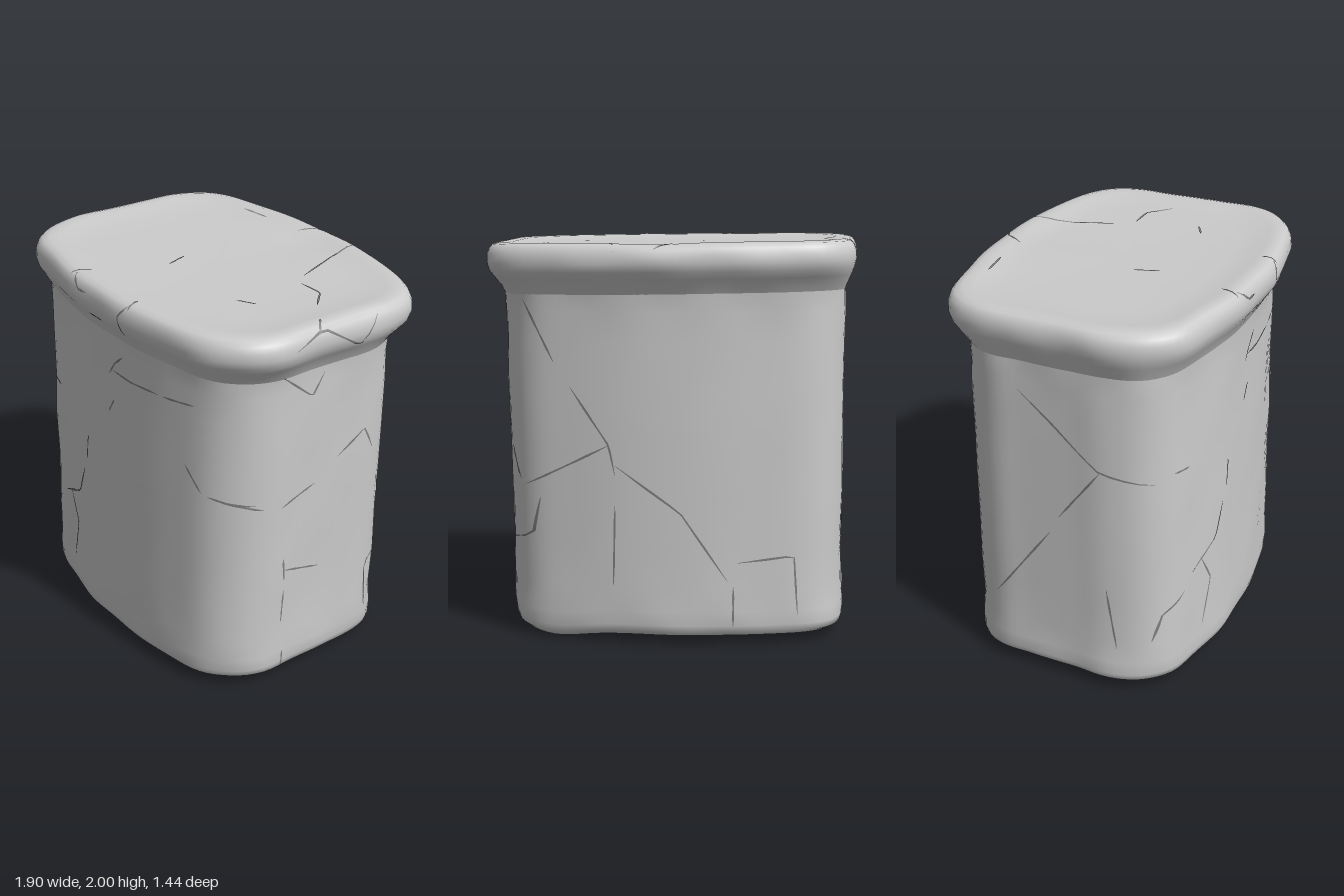
import * as THREE from 'three';

// Plan outline of the jar (x, z), running round from the back left corner
const OUTLINE = [
  [-0.88, -0.45], [-0.81, -0.58], [-0.69, -0.66], [-0.38, -0.71], [-0.05, -0.725], [0.3, -0.69],
  [0.6, -0.61], [0.8, -0.53], [0.9, -0.43], [0.945, -0.28], [0.93, -0.05], [0.91, 0.2],
  [0.89, 0.4], [0.82, 0.54], [0.68, 0.65], [0.42, 0.7], [0.15, 0.715], [-0.1, 0.7],
  [-0.35, 0.67], [-0.6, 0.6], [-0.8, 0.53], [-0.91, 0.4], [-0.95, 0.2], [-0.93, 0], [-0.9, -0.28],
];

// Sections: height, half-width scale, half-depth scale, centre x, centre z
const BODY = [
  [0.04, 0, 0, -0.03, 0.02], [0.04, 0.5, 0.5, -0.03, 0.02], [0.037, 0.82, 0.8, -0.03, 0.02],
  [0.045, 0.87, 0.86, -0.03, 0.02], [0.065, 0.905, 0.89, -0.035, 0.02], [0.1, 0.916, 0.9, -0.035, 0.02],
  [0.17, 0.918, 0.905, -0.03, 0.02], [0.28, 0.91, 0.9, -0.028, 0.02], [0.5, 0.912, 0.9, -0.028, 0.018],
  [0.75, 0.915, 0.895, -0.025, 0.015], [1.0, 0.918, 0.895, -0.023, 0.013], [1.25, 0.92, 0.89, -0.02, 0.01],
  [1.5, 0.922, 0.885, -0.018, 0.008], [1.65, 0.923, 0.885, -0.017, 0.006], [1.73, 0.925, 0.89, -0.015, 0.005],
  [1.8, 0.93, 0.9, -0.01, 0.004],
];
const LID = [
  [1.72, 0.915, 0.875, -0.015, 0.005], [1.77, 0.94, 0.91, -0.012, 0.004], [1.815, 0.97, 0.95, -0.006, 0.002],
  [1.85, 0.99, 0.985, 0, 0], [1.89, 1, 1, 0, 0], [1.93, 0.998, 0.995, 0, 0], [1.96, 0.985, 0.98, 0, 0],
  [1.98, 0.965, 0.955, 0, 0], [1.988, 0.93, 0.91, 0, 0], [1.985, 0.88, 0.85, 0, 0],
  [1.975, 0.82, 0.78, 0, 0], [1.968, 0.7, 0.65, 0, 0], [1.964, 0.35, 0.33, 0, 0], [1.964, 0, 0, 0, 0],
];

// Joins scaled copies of the outline into one smooth, slightly uneven skin
function loft(rows, adjustHeight) {
  const n = 120;
  const curve = new THREE.CatmullRomCurve3(OUTLINE.map(([x, z]) => new THREE.Vector3(x, 0, z)), true);
  const ring = curve.getSpacedPoints(n).slice(0, n);
  const positions = [], index = [];
  rows.forEach(([y, sx, sz, cx, cz], i) => {
    ring.forEach((p, j) => {
      const a = (j / n) * Math.PI * 2;
      const wobble = 1 + 0.003 * Math.sin(7 * a + y * 9) + 0.003 * Math.sin(13 * a - y * 14);
      const x = cx + p.x * sx * wobble, z = cz + p.z * sz * wobble;
      positions.push(x, y + adjustHeight(x, y, z), z);
      if (i === rows.length - 1) return;
      const b = i * n + j, c = i * n + (j + 1) % n;
      index.push(b, b + n, c, c, b + n, c + n);
    });
  });
  const geometry = new THREE.BufferGeometry();
  geometry.setAttribute('position', new THREE.Float32BufferAttribute(positions, 3));
  geometry.setIndex(index);
  geometry.computeVertexNormals();
  return geometry;
}

// Crack paths by face, in that face's own two coordinates
const CRACKS = {
  front: [
    [[-0.3, 1.99], [-0.24, 1.94], [-0.17, 1.94]], [[0.16, 1.98], [0.11, 1.92], [0.14, 1.83]],
    [[-0.16, 1.84], [-0.05, 1.84]], [[0.04, 1.66], [-0.03, 1.6], [-0.08, 1.53]],
    [[-0.05, 1.56], [0.1, 1.55], [0.3, 1.56]], [[0.33, 1.56], [0.53, 1.58]],
    [[-0.04, 1.4], [-0.09, 1.32]], [[-0.29, 1.1], [-0.31, 0.95]], [[-0.34, 0.88], [-0.41, 0.7], [-0.61, 0.6]],
    [[-0.54, 0.65], [-0.45, 0.48], [-0.52, 0.23]], [[0.47, 1.25], [0.57, 1.13]], [[0.6, 1.12], [0.77, 1.08]],
    [[-0.74, 1.23], [-0.64, 1.22]], [[-0.68, 0.53], [-0.8, 0.45], [-0.84, 0.3]],
  ],
  right: [
    [[0.32, 1.9], [0.15, 1.96], [-0.07, 1.82], [-0.17, 1.95]], [[0.32, 1.74], [0.14, 1.59], [0.07, 1.7]],
    [[-0.04, 1.2], [-0.2, 1.31], [-0.27, 1.18]], [[0.58, 1.11], [0.4, 1.05]], [[0.3, 1.03], [0.1, 1.1]],
    [[0.28, 0.73], [0.27, 0.6]], [[0.27, 0.66], [0.05, 0.6]], [[0.27, 0.54], [0.28, 0.35]],
    [[-0.3, 0.15], [-0.28, 0.48], [-0.45, 0.52], [-0.48, 0.72]], [[-0.34, 0.97], [-0.4, 0.8]], [[0.27, 0.17], [0.27, 0.07]],
  ],
  top: [
    [[0.3, -0.68], [0.33, -0.45], [0.4, -0.21]], [[-0.43, -0.57], [-0.26, -0.58]], [[0.46, -0.13], [0.6, -0.12], [0.7, 0]],
    [[-0.16, 0.08], [-0.13, 0.2]], [[0.41, 0.24], [0.5, 0.2]], [[0.65, -0.59], [0.81, -0.48]],
    [[-0.03, -0.58], [0.02, -0.66], [0.11, -0.7]], [[-0.88, -0.46], [-0.7, -0.57]],
    [[0.16, 0.63], [0.17, 0.7]], [[-0.28, 0.56], [-0.33, 0.65]], [[0.84, 0.12], [0.9, 0.18]],
  ],
  back: [
    [[0.75, 1.7], [0.6, 1.4]], [[0.52, 1.28], [0.33, 1], [0.3, 0.85]], [[0.3, 0.9], [-0.02, 0.67], [-0.25, 0.33]],
    [[-0.28, 0.3], [-0.28, 0.1]], [[0.33, 1], [0.75, 0.78]], [[0.3, 0.7], [0.31, 0.3]], [[-0.3, 0.42], [-0.58, 0.45], [-0.6, 0.15]],
  ],
  left: [
    [[-0.25, 1.6], [0.17, 1.25], [0.42, 1.2]], [[0.17, 1.25], [-0.05, 0.95]], [[-0.1, 0.85], [-0.42, 0.4]], [[0.2, 0.6], [0.25, 0.25]],
  ],
};
const FACES = {
  front: (u, v) => [[u, v, 3], [0, 0, -1]],
  back: (u, v) => [[u, v, -3], [0, 0, 1]],
  right: (u, v) => [[3, v, u], [-1, 0, 0]],
  left: (u, v) => [[-3, v, u], [1, 0, 0]],
  top: (u, v) => [[u, 4, v], [0, -1, 0]],
};

// Lays a thin tapering sliver along a path, following the skin
function crackGeometry(path, place, skins) {
  const points = path.map(([u, v]) => new THREE.Vector2(u, v));
  const line = new THREE.CurvePath();
  for (let i = 1; i < points.length; i++) line.add(new THREE.LineCurve(points[i - 1], points[i]));
  const steps = 12, positions = [], index = [], ray = new THREE.Raycaster();
  for (let i = 0; i <= steps; i++) {
    const t = i / steps, p = line.getPoint(t), d = line.getTangent(Math.min(t, 0.999));
    const half = 0.001 + 0.007 * Math.sin(Math.PI * t) * (0.7 + 0.3 * Math.sin(9 * t));
    for (const s of [-half, half]) {
      const [from, dir] = place(p.x - d.y * s, p.y + d.x * s);
      ray.set(new THREE.Vector3(...from), new THREE.Vector3(...dir));
      const hit = ray.intersectObjects(skins)[0];
      if (!hit) return null;
      positions.push(...hit.point.addScaledVector(hit.face.normal, 0.003).toArray());
    }
    if (i < steps) index.push(2 * i, 2 * i + 1, 2 * i + 2, 2 * i + 1, 2 * i + 3, 2 * i + 2);
  }
  const geometry = new THREE.BufferGeometry();
  geometry.setAttribute('position', new THREE.Float32BufferAttribute(positions, 3));
  geometry.setIndex(index);
  geometry.computeVertexNormals();
  return geometry;
}

export function createModel() {
  const group = new THREE.Group();
  const clay = new THREE.MeshStandardMaterial({ color: 0xcccccc });
  const gap = new THREE.MeshStandardMaterial({ color: 0x808080, side: THREE.DoubleSide });

  // Body, with a low spot under the back right corner
  const body = new THREE.Mesh(loft(BODY, (x, y, z) =>
    y < 0.2 ? -0.037 * Math.exp(-((x - 0.58) ** 2 + (z + 0.42) ** 2) / 0.035) : 0), clay);
  body.name = 'body';

  // Lid, tilted slightly down to one side, with a shallow dip in the rim
  const lid = new THREE.Mesh(loft(LID, (x, y, z) =>
    -0.012 * x + 0.006 * z - (y > 1.9 && z < -0.4 ? 0.008 * Math.exp(-((x - 0.1) ** 2) / 0.03) : 0)), clay);
  lid.name = 'lid';
  group.add(body, lid);

  // Cracks over every face
  const cracks = new THREE.Group();
  cracks.name = 'cracks';
  for (const [face, paths] of Object.entries(CRACKS)) {
    for (const path of paths) {
      const geometry = crackGeometry(path, FACES[face], [body, lid]);
      if (!geometry) continue;
      const crack = new THREE.Mesh(geometry, gap);
      crack.name = face + 'Crack';
      cracks.add(crack);
    }
  }
  group.add(cracks);
  return group;
}
